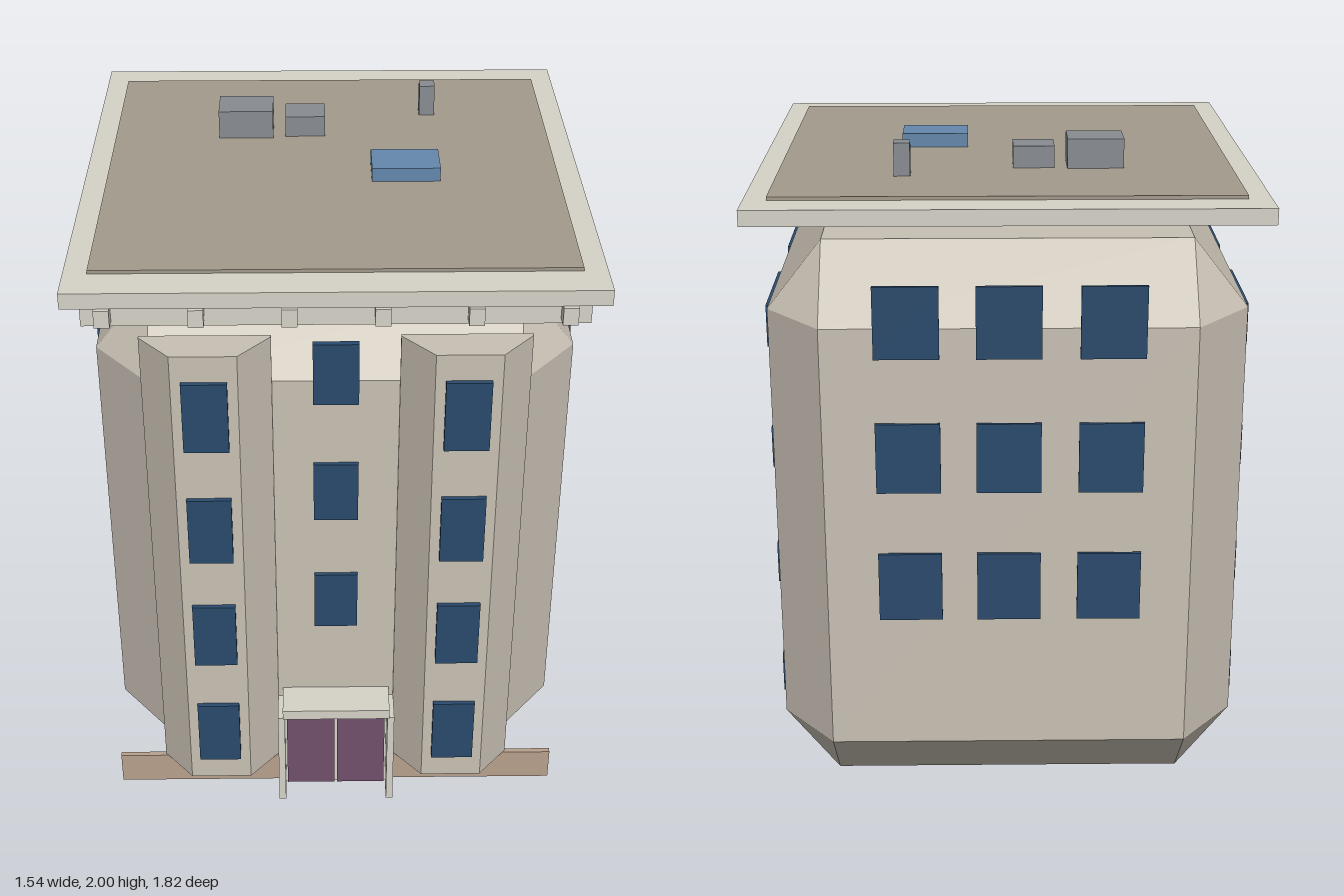
import * as THREE from 'three';
import { ConvexGeometry } from 'three/addons/geometries/ConvexGeometry.js';

const mat = (color) => new THREE.MeshStandardMaterial({ color, flatShading: true });

export function createModel() {
  const building = new THREE.Group();
  building.name = 'building';

  const wall = mat(0xc8c0b4), trim = mat(0xd6d2c8), glass = mat(0x2a4a6c), tar = mat(0xa39b8c);
  const base = mat(0xb8a08c), doorPaint = mat(0x70506c), metal = mat(0x888c92), skyGlass = mat(0x6488ac);

  const add = (name, geometry, material) => {
    const mesh = new THREE.Mesh(geometry, material);
    mesh.name = name;
    building.add(mesh);
    return mesh;
  };
  // box given by its lower and upper limits on each axis
  const box = (name, material, x0, x1, y0, y1, z0, z1) =>
    add(name, new THREE.BoxGeometry(x1 - x0, y1 - y0, z1 - z0), material)
      .position.set((x0 + x1) / 2, (y0 + y1) / 2, (z0 + z1) / 2);

  // main body: a box with every edge chamfered
  const half = [0.713, 0.888, 0.833], chamfer = [0.166, 0.212, 0.2], corners = [];
  for (const sx of [-1, 1]) for (const sy of [-1, 1]) for (const sz of [-1, 1])
    for (let full = 0; full < 3; full++) {
      const p = [sx, sy, sz].map((s, i) => s * (half[i] - (i === full ? 0 : chamfer[i])));
      corners.push(new THREE.Vector3(p[0], p[1] + 0.888, p[2] - 0.052));
    }
  add('body', new ConvexGeometry(corners), wall);

  // front bays with angled sides
  const bayShape = new THREE.Shape([[-0.189, -0.775], [0.189, -0.775], [0.189, -0.785], [0.096, -0.893],
    [-0.096, -0.893], [-0.189, -0.785]].map(([x, y]) => new THREE.Vector2(x, y)));
  const bayGeometry = new THREE.ExtrudeGeometry(bayShape, { depth: 1.605, bevelEnabled: false });
  bayGeometry.rotateX(-Math.PI / 2);
  for (const s of [-1, 1]) {
    add('bay', bayGeometry, wall).position.set(s * 0.375, 0.11, 0);
    for (let i = 0; i < 4; i++) {
      const y = 0.198 + i * 0.401;
      box('bayWindow', glass, s * 0.375 - 0.066, s * 0.375 + 0.066, y, y + 0.23, 0.885, 0.908);
    }
  }

  // centre and back windows, three storeys
  for (let i = 0; i < 3; i++) {
    const y = 0.66 + i * 0.415;
    box('centreWindow', glass, -0.067, 0.067, y, y + 0.203, 0.775, 0.795);
    for (const x of [-0.3, 0, 0.295])
      box('backWindow', glass, x - 0.095, x + 0.095, y - 0.012, y + 0.205, -0.908, -0.897);
  }

  // side windows, four storeys
  for (const s of [-1, 1])
    for (let i = 0; i < 4; i++)
      for (const z of [0.245, -0.422]) {
        const y = 0.24 + i * 0.393, x = s * 0.717;
        box('sideWindow', glass, x - 0.01, x + 0.01, y, y + 0.131, z - 0.183, z + 0.183);
      }

  // plinth and entrance
  box('plinth', base, -0.713, 0.713, 0, 0.11, 0.778, 0.795);
  for (const s of [-1, 1]) {
    box('doorJamb', trim, s * 0.176 - 0.011, s * 0.176 + 0.011, 0, 0.357, 0.78, 0.889);
    box('doorLeaf', doorPaint, s * 0.082 - 0.078, s * 0.082 + 0.078, 0, 0.302, 0.79, 0.812);
  }
  box('doorFrame', trim, -0.166, 0.166, 0, 0.358, 0.785, 0.805);
  box('transom', skyGlass, -0.15, 0.15, 0.308, 0.357, 0.79, 0.812);
  box('canopy', trim, -0.171, 0.171, 0.357, 0.392, 0.78, 0.895);

  // cornice and brackets
  box('cornice', trim, -0.72, 0.72, 1.767, 1.838, 0.777, 0.808);
  for (let i = 0; i < 6; i++) {
    const x = -0.655 + i * 0.262;
    box('bracket', trim, x - 0.022, x + 0.022, 1.783, 1.838, 0.8, 0.849);
  }

  // roof slab, its covering and the equipment on it
  box('roofSlab', trim, -0.772, 0.772, 1.838, 1.887, -0.784, 0.837);
  box('roofCovering', tar, -0.702, 0.702, 1.88, 1.898, -0.67, 0.722);
  box('largeVent', metal, -0.365, -0.19, 1.89, 1.99, -0.31, -0.18);
  box('smallVent', metal, -0.15, -0.022, 1.89, 1.966, -0.3, -0.192);
  box('chimney', metal, 0.293, 0.343, 1.89, 2, -0.41, -0.36);
  box('skylight', skyGlass, 0.12, 0.332, 1.89, 1.942, 0.01, 0.153);

  return building;
}
